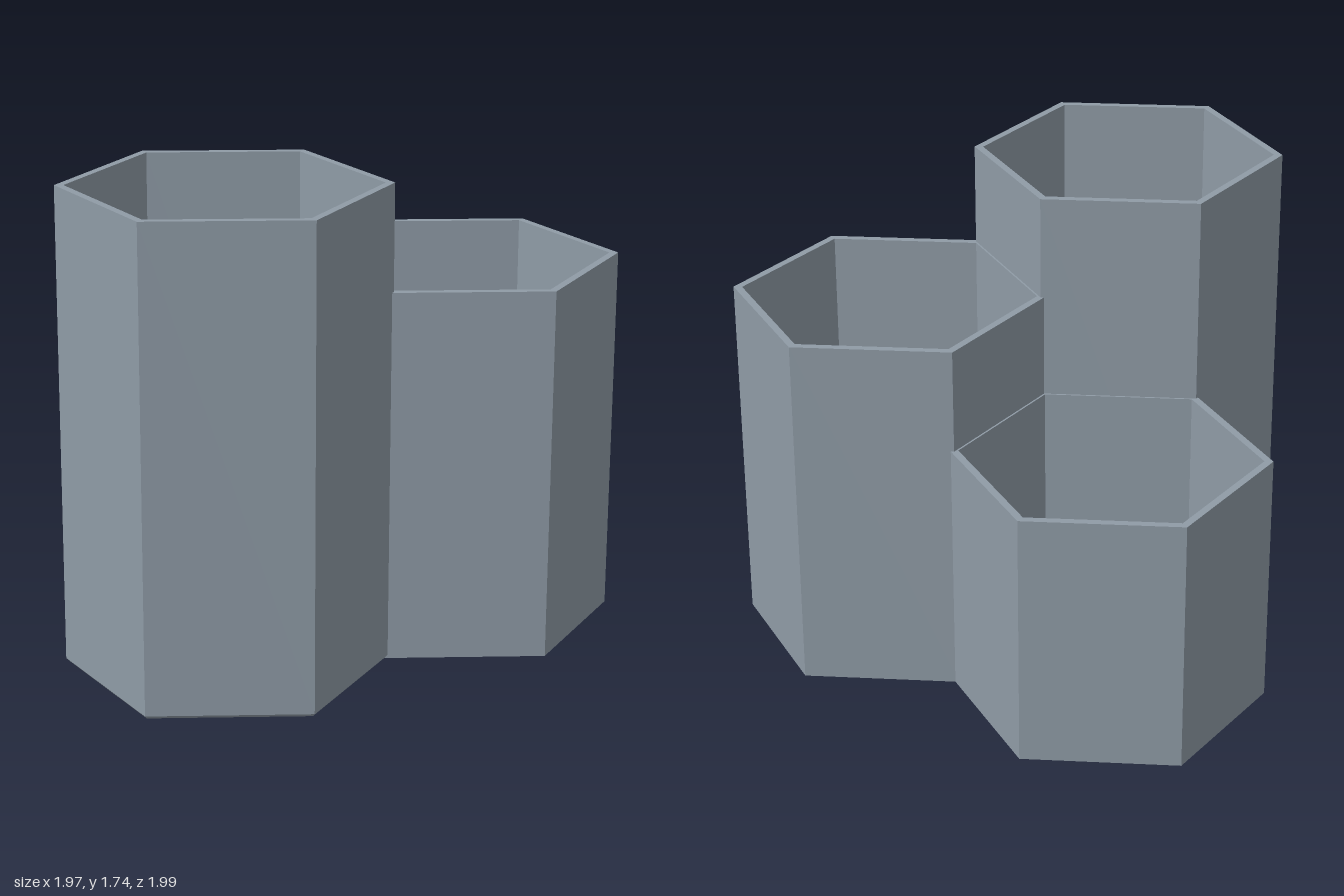
import * as THREE from 'three';

const R_OUT = 0.575;   // outer corner radius
const R_IN = 0.543;    // inner corner radius
const FLOOR = 0.03;    // floor thickness
const PITCH = 0.975;   // spacing of the cell centres

// Open hexagonal cup with corners on +z and -z, optionally chamfered at the foot
function hexCup(height, chamfer) {
  const foot = chamfer > 0
    ? [[R_OUT - chamfer, 0], [R_OUT, chamfer]]
    : [[R_OUT, 0]];
  const profile = [
    [0, 0], ...foot,
    [R_OUT, height], [R_IN, height],
    [R_IN, FLOOR], [0, FLOOR],
  ].map(([r, y]) => new THREE.Vector2(r, y));
  const geometry = new THREE.LatheGeometry(profile, 6).toNonIndexed();
  geometry.computeVertexNormals(); // flat faces
  return geometry;
}

export function createModel() {
  const group = new THREE.Group();
  group.name = 'hexagonalOrganizer';

  const slate = new THREE.MeshStandardMaterial({ color: 0x8f9ba6 });
  slate.name = 'slateGrey';

  const zFront = 0.421;
  const zBack = zFront - PITCH * Math.sqrt(3) / 2;

  // Three cups of stepped height, nested like honeycomb cells
  const cups = [
    { name: 'tallCup', x: -PITCH / 2, z: zFront, height: 1.74, chamfer: 0.012 },
    { name: 'mediumCup', x: PITCH / 2, z: zFront, height: 1.355, chamfer: 0 },
    { name: 'shortCup', x: 0, z: zBack, height: 0.965, chamfer: 0 },
  ];
  for (const { name, x, z, height, chamfer } of cups) {
    const cup = new THREE.Mesh(hexCup(height, chamfer), slate);
    cup.name = name;
    cup.position.set(x, 0, z);
    group.add(cup);
  }
  return group;
}
